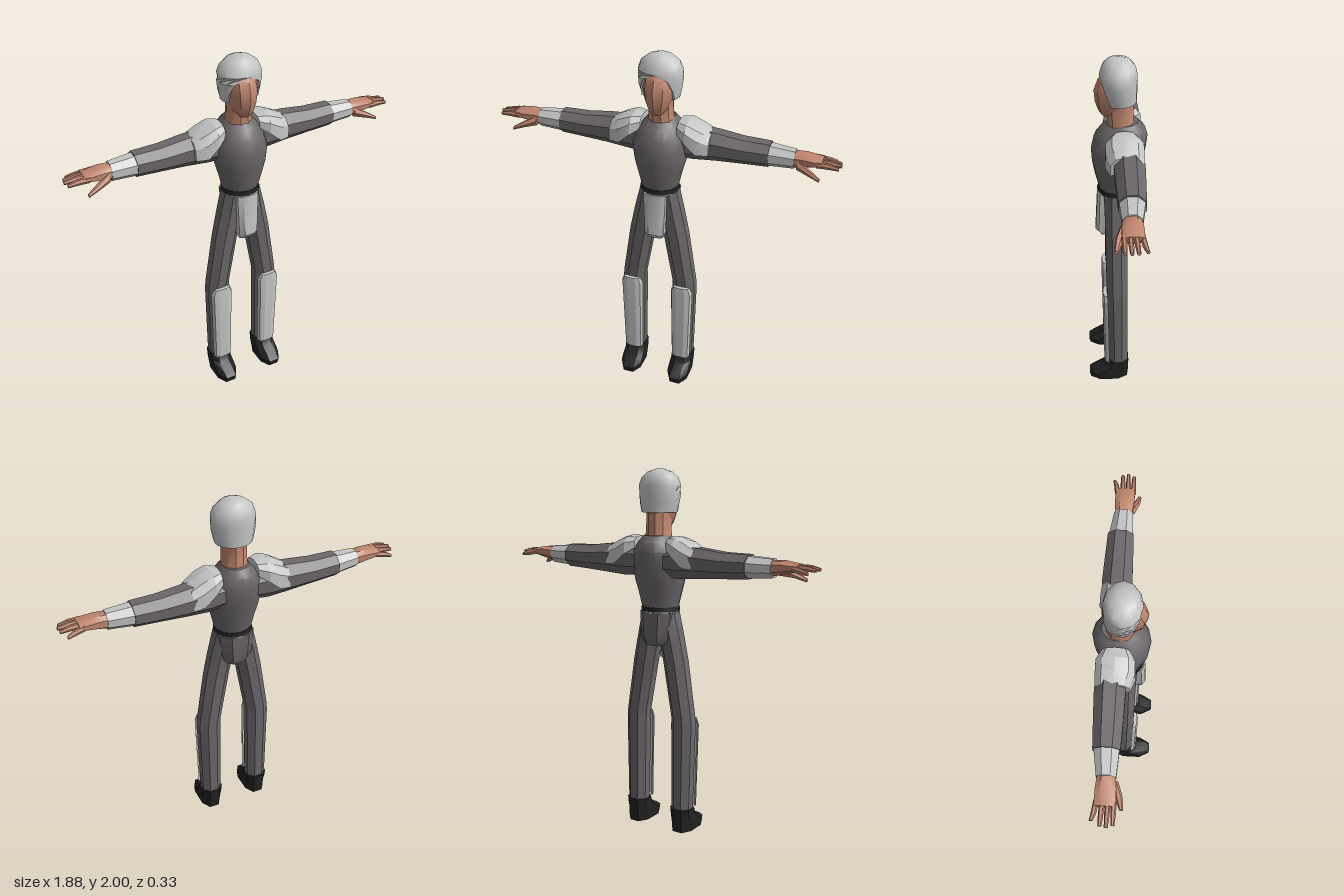
import * as THREE from 'three';
import { toCreasedNormals } from 'three/addons/utils/BufferGeometryUtils.js';

const material = (name, color, open) => {
  const m = new THREE.MeshStandardMaterial({ color });
  m.name = name;
  if (open) m.side = THREE.DoubleSide;
  return m;
};

// One cross-section. Row: [t, min, max, zFront, zBack, gap]; t runs along y, or along x for limbs.
// A gap leaves an open arc whose two ends are tucked inwards.
function section(row, { n = 8, alongX = false, power = 1, phase = 0, half = true, open = false }) {
  const [t, u0, u1, zf, zb, gap = 0] = row;
  const cu = (u0 + u1) / 2, ru = Math.abs(u1 - u0) / 2;
  const cz = (zf + zb) / 2, rz = (zf - zb) / 2;
  const bend = (v) => Math.sign(v) * Math.abs(v) ** power;
  const fit = !open && half ? 1 / Math.cos(Math.PI / n) ** power : 1;
  const at = (a, k) => {
    const s = bend(Math.sin(a)) * k, c = bend(Math.cos(a)) * k;
    return alongX ? [t, cu + ru * c, cz + rz * s] : [cu + ru * s, t, cz + rz * c];
  };
  const pts = [];
  if (open) {
    const angle = (i) => phase + gap + (2 * Math.PI - 2 * gap) * i / n;
    pts.push(at(angle(0), 0.85));
    for (let i = 0; i <= n; i++) pts.push(at(angle(i), 1));
    pts.push(at(angle(n), 0.85));
  } else {
    for (let i = 0; i < n; i++) pts.push(at((i + (half ? 0.5 : 0)) / n * 2 * Math.PI, fit));
  }
  return pts;
}

// Skin a run of cross-sections and cap both ends.
function loft(rows, opts = {}, mirrored = false) {
  const rings = rows.map((r) => section(r, opts));
  const n = rings[0].length, last = rings.length - 1;
  const pos = rings.flat(), idx = [];
  for (let r = 0; r < last; r++) {
    for (let i = 0; i < n; i++) {
      if (opts.open && i === n - 1) continue;
      const j = (i + 1) % n, a = r * n + i, b = r * n + j;
      idx.push(a, b, b + n, a, b + n, a + n);
    }
  }
  for (const r of [0, last]) {
    const centre = [0, 1, 2].map((k) => rings[r].reduce((s, p) => s + p[k], 0) / n);
    const c = pos.push(centre) - 1;
    for (let i = 0; i < n; i++) {
      const a = r * n + i, b = r * n + (i + 1) % n;
      if (r === 0) idx.push(c, b, a);
      else idx.push(c, a, b);
    }
  }
  if (mirrored) {
    for (const p of pos) p[0] *= -1;
    idx.reverse();
  }
  const g = new THREE.BufferGeometry();
  g.setAttribute('position', new THREE.Float32BufferAttribute(pos.flat(), 3));
  g.setIndex(idx);
  return toCreasedNormals(g, opts.crease ?? 0.6);
}

export function createModel() {
  const model = new THREE.Group();
  model.name = 'armouredFigure';
  const suit = material('suitGrey', 0x6c676a);
  const plate = material('plateGrey', 0xc4c6c5, true);
  const skin = material('skin', 0xc0866f);
  const black = material('black', 0x222223);

  const add = (name, mat, rows, opts, mirrored) => {
    const mesh = new THREE.Mesh(loft(rows, opts, mirrored), mat);
    mesh.name = name;
    model.add(mesh);
  };
  const pair = (name, mat, rows, opts) => {
    add(name + 'Left', mat, rows, opts, false);
    add(name + 'Right', mat, rows, opts, true);
  };
  // Row symmetric about x = 0
  const mid = (y, r, zf, zb, gap) => [y, -r, r, zf, zb, gap];

  // Torso, belt and hips
  add('torso', suit, [
    mid(1.26, 0.1, 0.09, -0.102), mid(1.34, 0.118, 0.11, -0.12), mid(1.42, 0.14, 0.125, -0.14),
    mid(1.5, 0.15, 0.13, -0.155), mid(1.57, 0.133, 0.115, -0.163), mid(1.62, 0.1, 0.08, -0.15),
    mid(1.655, 0.07, 0.035, -0.115),
  ], { n: 14, half: false });
  add('belt', black, [mid(1.247, 0.107, 0.1, -0.11), mid(1.272, 0.104, 0.097, -0.108)], { n: 14, half: false });
  add('beltTrim', plate, [mid(1.238, 0.103, 0.096, -0.107), mid(1.248, 0.104, 0.097, -0.108)], { n: 14, half: false });
  add('hips', suit, [
    mid(1.06, 0.065, 0.04, -0.09), mid(1.1, 0.085, 0.05, -0.105), mid(1.242, 0.1, 0.08, -0.105),
  ], { power: 0.8 });
  add('frontFlap', plate, [
    mid(0.97, 0.045, 0.09, 0.045), mid(1.0, 0.054, 0.112, 0.035), mid(1.243, 0.062, 0.1, 0.04),
  ], { power: 0.7 });

  // Head, neck and open-faced helmet
  add('neck', skin, [
    mid(1.63, 0.073, 0.045, -0.098), mid(1.67, 0.064, 0.045, -0.09), mid(1.78, 0.062, 0.05, -0.088),
  ], { n: 10 });
  add('head', skin, [
    mid(1.697, 0.03, 0.075, 0.01), mid(1.72, 0.052, 0.09, -0.05), mid(1.77, 0.072, 0.106, -0.085),
    mid(1.83, 0.082, 0.111, -0.09), mid(1.89, 0.078, 0.09, -0.085), mid(1.93, 0.06, 0.06, -0.07),
  ], { n: 10, half: false });
  add('helmet', plate, [
    mid(1.772, 0.084, 0.06, -0.088, 1.1), mid(1.775, 0.1, 0.075, -0.106, 1.1),
    mid(1.83, 0.113, 0.08, -0.107, 0.85), mid(1.88, 0.119, 0.084, -0.107, 0.6),
    mid(1.915, 0.119, 0.084, -0.107, 0), mid(1.955, 0.104, 0.073, -0.098, 0),
    mid(1.985, 0.066, 0.05, -0.074, 0), mid(2.0, 0.02, 0.02, -0.04, 0),
  ], { n: 12, open: true, crease: 0.75 });

  // Arms
  const limb = { alongX: true };
  pair('sleeve', suit, [
    [0.08, 1.6, 1.44, 0.03, -0.12], [0.17, 1.61, 1.435, 0.025, -0.132], [0.3, 1.6, 1.445, 0.018, -0.135],
    [0.43, 1.585, 1.453, 0.015, -0.13], [0.575, 1.583, 1.46, 0.01, -0.123],
  ], limb);
  pair('cuff', plate, [[0.57, 1.576, 1.466, 0.006, -0.118], [0.705, 1.568, 1.474, -0.002, -0.098]], limb);
  pair('shoulderPlate', plate, [
    [0.1, 1.65, 1.55, 0.03, -0.11, 1.35], [0.15, 1.655, 1.5, 0.062, -0.14, 1.35],
    [0.21, 1.636, 1.43, 0.064, -0.142, 1.35], [0.272, 1.6, 1.44, 0.04, -0.137, 1.35],
  ], { n: 6, alongX: true, open: true, phase: Math.PI, power: 0.8, crease: 0.4 });

  // Hands
  pair('palm', skin, [
    [0.695, 1.56, 1.482, -0.006, -0.092], [0.76, 1.562, 1.495, 0.002, -0.098], [0.845, 1.549, 1.515, 0.004, -0.1],
  ], { alongX: true, power: 0.8 });
  const fingers = [[-0.088, -0.108, 0.91, 1.512], [-0.06, -0.066, 0.935, 1.525],
    [-0.033, -0.036, 0.94, 1.528], [-0.006, -0.006, 0.93, 1.524]];
  fingers.forEach(([z0, z1, x, y], i) => pair('finger' + (i + 1), skin, [
    [0.82, 1.545, 1.515, z0 + 0.012, z0 - 0.012],
    [0.88, y + 0.02, y - 0.007, (z0 + z1) / 2 + 0.011, (z0 + z1) / 2 - 0.011],
    [x, y + 0.008, y - 0.008, z1 + 0.008, z1 - 0.008],
  ], { n: 6, alongX: true }));
  pair('thumb', skin, [
    [0.72, 1.535, 1.485, 0.005, -0.04], [0.785, 1.506, 1.474, 0.03, -0.003], [0.845, 1.472, 1.455, 0.037, 0.02],
  ], { n: 6, alongX: true });

  // Legs, shin guards and boots
  pair('leg', suit, [
    [0.12, 0.092, 0.205, 0.045, -0.062], [0.61, 0.085, 0.215, 0.055, -0.06], [0.66, 0.085, 0.212, 0.057, -0.06],
    [0.97, 0.03, 0.165, 0.06, -0.06], [1.1, 0.002, 0.138, 0.062, -0.063], [1.243, 0.0, 0.104, 0.065, -0.07],
  ], { crease: 0.5 });
  pair('shinGuard', plate, [
    [0.135, 0.093, 0.203, 0.075, 0.015, 1.57], [0.61, 0.086, 0.214, 0.082, 0.02, 1.57],
    [0.648, 0.1, 0.198, 0.078, 0.03, 1.57],
  ], { n: 5, open: true, phase: Math.PI, power: 0.75, crease: 0.3 });
  pair('boot', black, [
    [0, 0.09, 0.206, 0.155, -0.06], [0.035, 0.086, 0.21, 0.163, -0.064], [0.06, 0.086, 0.21, 0.13, -0.066],
    [0.09, 0.087, 0.209, 0.075, -0.067], [0.135, 0.087, 0.209, 0.052, -0.068],
  ], { power: 0.8 });

  return model;
}
